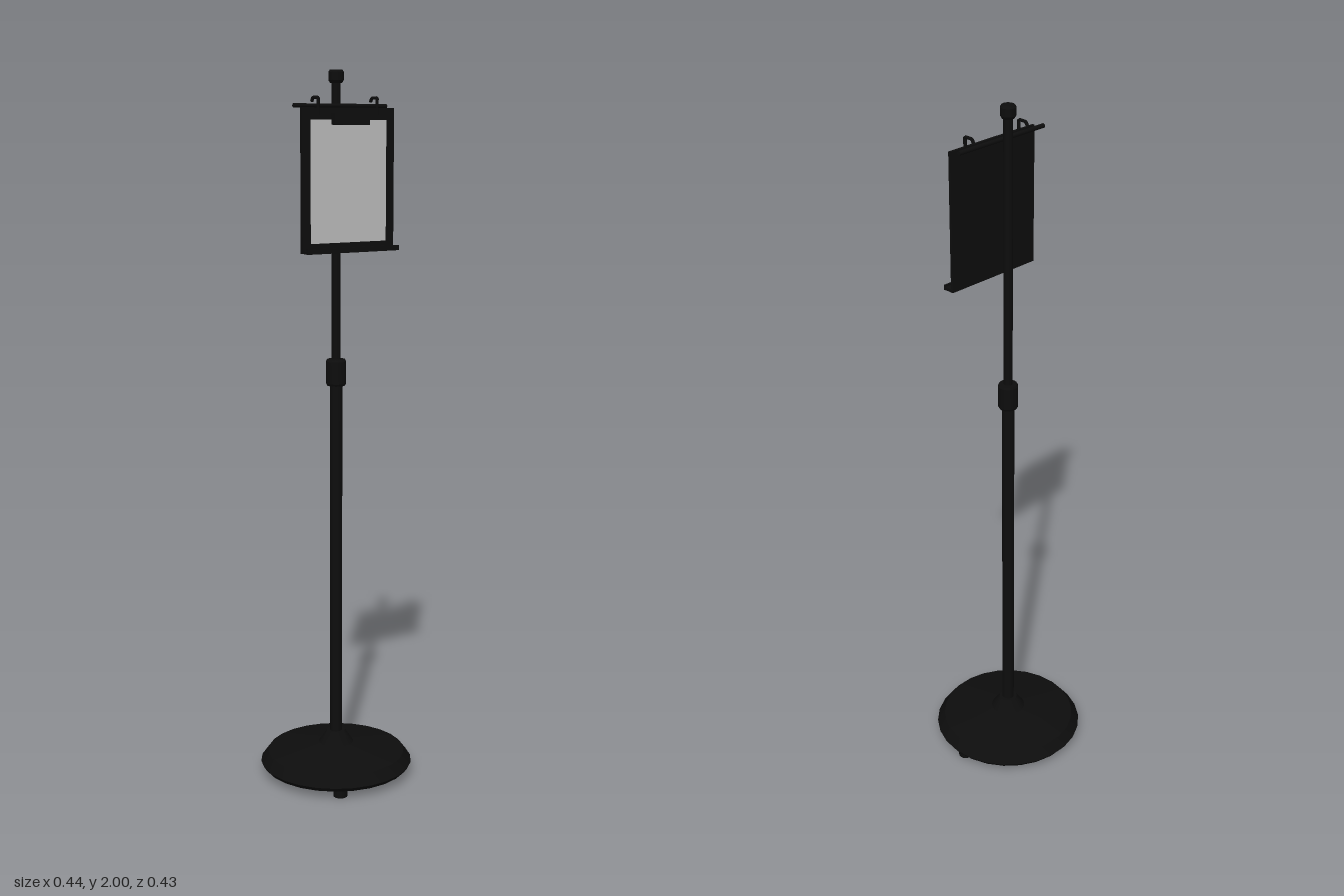
import * as THREE from 'three';
import { toCreasedNormals } from 'three/addons/utils/BufferGeometryUtils.js';

export function createModel() {
  const model = new THREE.Group();
  model.name = 'signStand';
  const black = new THREE.MeshStandardMaterial({ color: 0x0d0d0d });
  black.name = 'black';
  const grey = new THREE.MeshStandardMaterial({ color: 0xc0c0c0 });
  grey.name = 'paperGrey';

  function add(name, geometry, x = 0, y = 0, z = 0, material = black, parent = model) {
    const mesh = new THREE.Mesh(geometry, material);
    mesh.name = name;
    mesh.position.set(x, y, z);
    parent.add(mesh);
    return mesh;
  }
  // Turned part from [radius, height] pairs, with crisp rims
  function turned(name, profile, sides) {
    const points = profile.map(([r, y]) => new THREE.Vector2(r, y));
    const geometry = new THREE.LatheGeometry(points, sides, Math.PI / 2);
    return add(name, toCreasedNormals(geometry, 0.45));
  }

  // Round weighted base with a conical hub
  turned('base', [[0, 0.024], [0.21, 0.024], [0.219, 0.036], [0.197, 0.065],
    [0.05, 0.09], [0.043, 0.1], [0.026, 0.125], [0, 0.125]], 26);

  // Three feet under the rim
  for (let i = 0; i < 3; i++) {
    const a = (i * Math.PI * 2) / 3;
    add('foot', new THREE.CylinderGeometry(0.02, 0.02, 0.03, 14),
      Math.cos(a) * 0.183, 0.015, Math.sin(a) * 0.183);
  }

  // Telescopic pole with its locking collar and top cap
  add('lowerPole', new THREE.CylinderGeometry(0.0175, 0.0175, 1.05, 20), 0, 0.635, 0);
  turned('collar', [[0, 1.142], [0.025, 1.142], [0.028, 1.148], [0.028, 1.21],
    [0.025, 1.216], [0, 1.216]], 20);
  add('upperPole', new THREE.CylinderGeometry(0.0125, 0.0125, 0.8, 20), 0, 1.575, 0);
  turned('topCap', [[0, 1.965], [0.016, 1.965], [0.021, 1.973], [0.021, 1.994],
    [0.017, 2], [0, 2]], 20);

  // Cross rod fixed to the pole
  const rod = add('crossRod', new THREE.CylinderGeometry(0.006, 0.006, 0.3, 10), 0, 1.905, 0.022);
  rod.rotation.z = Math.PI / 2;

  // Clipboard panel hung from the rod
  const board = new THREE.Group();
  board.name = 'clipboard';
  model.add(board);
  const part = (name, w, h, d, x, y, z, material) =>
    add(name, new THREE.BoxGeometry(w, h, d), x, y, z, material, board);
  part('backPanel', 0.298, 0.382, 0.008, 0, 1.709, 0.057);
  part('paper', 0.244, 0.325, 0.002, 0, 1.7055, 0.062, grey);
  part('ledge', 0.3, 0.008, 0.034, 0, 1.522, 0.07);
  part('ledgeLip', 0.3, 0.014, 0.005, 0, 1.524, 0.0845);
  part('clip', 0.114, 0.03, 0.018, 0, 1.87, 0.069);

  // Two hooks bent over the rod
  for (const x of [-0.095, 0.095]) {
    const path = new THREE.CurvePath();
    const bends = [[1.88, 0.057], [1.926, 0.057], [1.926, 0.032], [1.916, 0.026]]
      .map(([y, z]) => new THREE.Vector3(x, y, z));
    for (let i = 0; i < 3; i++) path.add(new THREE.LineCurve3(bends[i], bends[i + 1]));
    add('hook', new THREE.TubeGeometry(path, 24, 0.0045, 8), 0, 0, 0, black, board);
  }
  return model;
}
